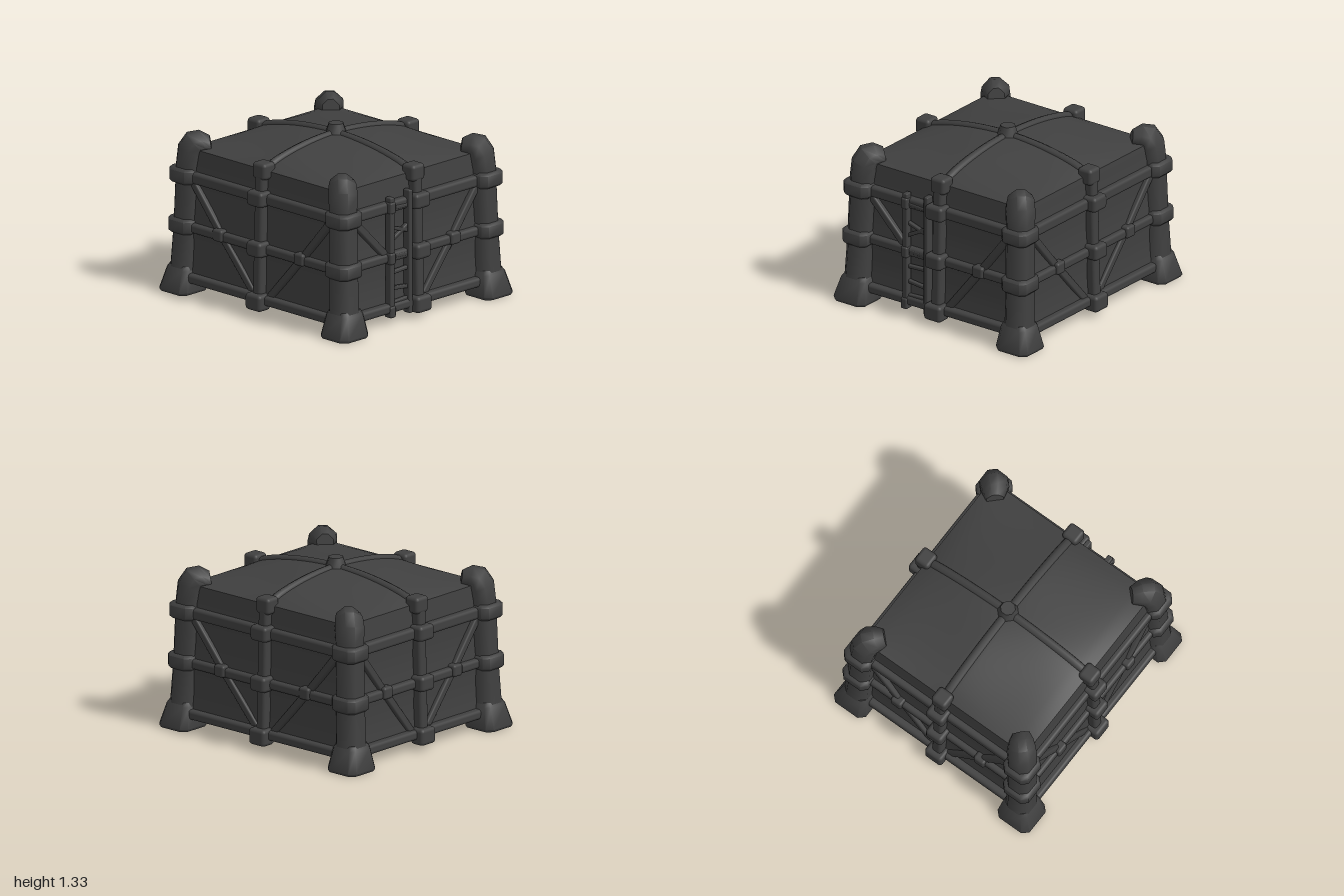
import * as THREE from 'three';
import { toCreasedNormals } from 'three/addons/utils/BufferGeometryUtils.js';
import { RoundedBoxGeometry } from 'three/addons/geometries/RoundedBoxGeometry.js';

const charcoal = new THREE.MeshStandardMaterial({ color: 0x404040 });
charcoal.name = 'charcoal';

function add(parent, name, geometry, x = 0, y = 0, z = 0) {
  const mesh = new THREE.Mesh(geometry, charcoal);
  mesh.name = name;
  mesh.position.set(x, y, z);
  parent.add(mesh);
  return mesh;
}

const block = (parent, name, w, h, d, x, y, z, r = 0.02) =>
  add(parent, name, new RoundedBoxGeometry(w, h, d, 2, r), x, y, z);

// Beam between two points
function beam(parent, name, a, b, w, d) {
  const from = new THREE.Vector3(...a), to = new THREE.Vector3(...b);
  const dir = to.clone().sub(from);
  const mesh = add(parent, name, new RoundedBoxGeometry(w, dir.length(), d, 2, Math.min(w, d) * 0.3));
  mesh.position.copy(from).add(to).multiplyScalar(0.5);
  mesh.quaternion.setFromUnitVectors(new THREE.Vector3(0, 1, 0), dir.normalize());
  return mesh;
}

// Loft through chamfered rectangles: [x, y, z, halfX, halfZ, tilt], tilted towards the centre
function loft(rings, sx, sz, chamfer) {
  const k = 1 - chamfer, n = 8, up = new THREE.Vector3(0, 1, 0);
  const shape = [[1, k], [k, 1], [-k, 1], [-1, k], [-1, -k], [-k, -1], [k, -1], [1, -k]];
  const pos = [], index = [];
  for (const [x, y, z, hx, hz, tilt = 0] of rings) {
    const normal = new THREE.Vector3(-sx * Math.SQRT1_2 * Math.sin(tilt), Math.cos(tilt),
      -sz * Math.SQRT1_2 * Math.sin(tilt));
    const q = new THREE.Quaternion().setFromUnitVectors(up, normal);
    for (const [a, b] of shape) {
      const p = new THREE.Vector3(a * hx, 0, b * hz).applyQuaternion(q);
      pos.push(sx * x + p.x, y + p.y, sz * z + p.z);
    }
  }
  for (let r = 0; r < rings.length - 1; r++) {
    for (let i = 0; i < n; i++) {
      const a = r * n + i, b = r * n + (i + 1) % n;
      index.push(a, a + n, b, b, a + n, b + n);
    }
  }
  const top = (rings.length - 1) * n;
  for (let i = 1; i < n - 1; i++) index.push(0, i, i + 1, top, top + i + 1, top + i);
  const g = new THREE.BufferGeometry();
  g.setAttribute('position', new THREE.Float32BufferAttribute(pos, 3));
  g.setIndex(index);
  return toCreasedNormals(g, 0.9);
}

// Roof height over normalised plan coordinates, with sagging quarters
function roofHeight(u, v) {
  const dome = Math.pow(Math.max(0, (1 - u * u) * (1 - v * v)), 0.8);
  const sag = Math.sin(Math.PI * Math.abs(u)) * Math.sin(Math.PI * Math.abs(v));
  return 1.125 + 0.135 * dome - 0.02 * sag;
}

// Cloth body: a box pulled into tapered walls and a domed roof
function canvasGeometry() {
  const g = new THREE.BoxGeometry(2, 1, 2, 24, 20, 24);
  const p = g.attributes.position;
  for (let i = 0; i < p.count; i++) {
    const u = p.getX(i), t = p.getY(i) + 0.5, v = p.getZ(i);
    const y = t > 0.999 ? roofHeight(u, v) : 0.1 + t * 1.025;
    const pinch = 0.012 * Math.abs(Math.sin((t * 1.025 - 0.02) / 0.4 * Math.PI));
    const inset = 0.025 * t + (t > 0.01 && t < 0.99 ? pinch : 0) + (t > 0.96 ? 0.015 : 0);
    p.setXYZ(i, u * (0.845 - inset), y, v * (0.8 - inset));
  }
  return toCreasedNormals(g, 0.7);
}

// Timber frame on one wall; x runs along it and z points outward
function wallFrame(depth, halfWidth, hasLadder) {
  const wall = new THREE.Group();
  for (const [y, h, d] of [[0.125, 0.075, 0.02], [0.52, 0.075, 0], [0.915, 0.09, -0.005]]) {
    block(wall, 'rail', halfWidth * 2 + 0.06, h, 0.09, 0, y, depth - 0.02 + d, 0.025);
  }
  beam(wall, 'middlePost', [0, 0.07, depth + 0.01], [0, 1.16, depth - 0.02], 0.085, 0.1);
  const collars = [[0.11, 0.16, 0.13, 0.035], [0.525, 0.15, 0.12, 0.03],
    [0.92, 0.16, 0.12, 0.02], [1.13, 0.135, 0.13, -0.03]];
  for (const [y, w, h, d] of collars) {
    block(wall, 'middleCollar', w, h, 0.13, 0, y, depth + d, 0.028);
  }
  for (const s of [-1, 1]) {
    const z = depth - 0.015, ladderHalf = hasLadder && s < 0;
    const jx = halfWidth * (ladderHalf ? 0.47 : 0.59) * s;
    beam(wall, 'upperBrace', [s * halfWidth, 0.88, z], [jx, 0.53, z], 0.06, 0.05);
    if (!ladderHalf) {
      beam(wall, 'lowerBrace', [jx, 0.53, z], [s * 0.07, 0.13, z], 0.06, 0.05);
      block(wall, 'braceJoint', 0.1, 0.095, 0.1, jx, 0.53, depth - 0.005, 0.02);
    }
  }
  return wall;
}

// Ladder with uneven rungs
function ladder(depth) {
  const group = new THREE.Group();
  group.name = 'ladder';
  block(group, 'ladderRail', 0.045, 0.94, 0.06, -0.295, 0.53, depth + 0.015, 0.01);
  block(group, 'ladderRail', 0.04, 0.97, 0.07, -0.098, 0.535, depth + 0.01, 0.01);
  for (const y of [0.1, 0.52, 0.92]) {
    block(group, 'ladderBinding', 0.06, 0.09, 0.075, -0.297, y, depth + 0.02, 0.015);
  }
  const rungs = [[0.16, 0.17], [0.28, 0.26], [0.4, 0.41], [0.53, 0.52],
    [0.65, 0.75], [0.76, 0.7], [0.91, 0.9]];
  for (const [a, b] of rungs) {
    beam(group, 'rung', [-0.29, a, depth + 0.01], [-0.1, b, depth + 0.01], 0.03, 0.035);
  }
  return group;
}

function cornerPost(sx, sz) {
  const corner = new THREE.Group();
  corner.name = 'cornerPost';
  // Splayed foot
  add(corner, 'foot', loft([
    [0.855, 0, 0.77, 0.135, 0.14], [0.855, 0.02, 0.77, 0.145, 0.15],
    [0.846, 0.18, 0.758, 0.112, 0.115], [0.843, 0.215, 0.755, 0.095, 0.095],
  ], sx, sz, 0.3));
  // Shaft with its head bent over the roof corner
  add(corner, 'shaft', loft([
    [0.843, 0.15, 0.76, 0.108, 0.105], [0.828, 0.5, 0.75, 0.1, 0.1],
    [0.81, 1.0, 0.74, 0.1, 0.1], [0.8, 1.1, 0.73, 0.105, 0.105, 0.35],
    [0.775, 1.16, 0.71, 0.098, 0.098, 0.8], [0.735, 1.17, 0.675, 0.085, 0.085, 1.2],
    [0.69, 1.155, 0.64, 0.06, 0.06, 1.4],
  ], sx, sz, 0.5));
  // Bindings
  for (const [x, y, z] of [[0.833, 0.525, 0.755], [0.825, 0.92, 0.75]]) {
    add(corner, 'collar', loft([
      [x, y - 0.06, z, 0.1, 0.1], [x, y - 0.04, z, 0.118, 0.118],
      [x, y + 0.04, z, 0.118, 0.118], [x, y + 0.06, z, 0.1, 0.1],
    ], sx, sz, 0.35));
  }
  return corner;
}

export function createModel() {
  const model = new THREE.Group();
  model.name = 'coveredCrate';
  add(model, 'canvas', canvasGeometry());

  // Four walls, one with the ladder
  ['frontFrame', 'leftFrame', 'backFrame', 'rightFrame'].forEach((name, i) => {
    const depth = i % 2 ? 0.85 : 0.8;
    const wall = wallFrame(depth, i % 2 ? 0.66 : 0.73, i === 1);
    wall.name = name;
    if (i === 1) wall.add(ladder(depth));
    wall.rotation.y = i * Math.PI / 2;
    model.add(wall);
  });

  for (const sx of [-1, 1]) for (const sz of [-1, 1]) model.add(cornerPost(sx, sz));

  // Crossing roof ribs and the centre knot
  for (const alongX of [true, false]) {
    const reach = alongX ? 0.82 : 0.775, points = [];
    for (let i = -6; i <= 6; i++) {
      const u = i / 6, y = roofHeight(u, 0) - 0.012;
      points.push(new THREE.Vector3(alongX ? u * reach : 0, y, alongX ? 0 : u * reach));
    }
    add(model, 'roofRib', new THREE.TubeGeometry(new THREE.CatmullRomCurve3(points), 32, 0.036, 8));
  }
  const knot = new THREE.CylinderGeometry(0.058, 0.098, 0.12, 8);
  knot.rotateY(Math.PI / 8);
  add(model, 'roofKnot', toCreasedNormals(knot, 0.9), 0, 1.272, 0);
  return model;
}
